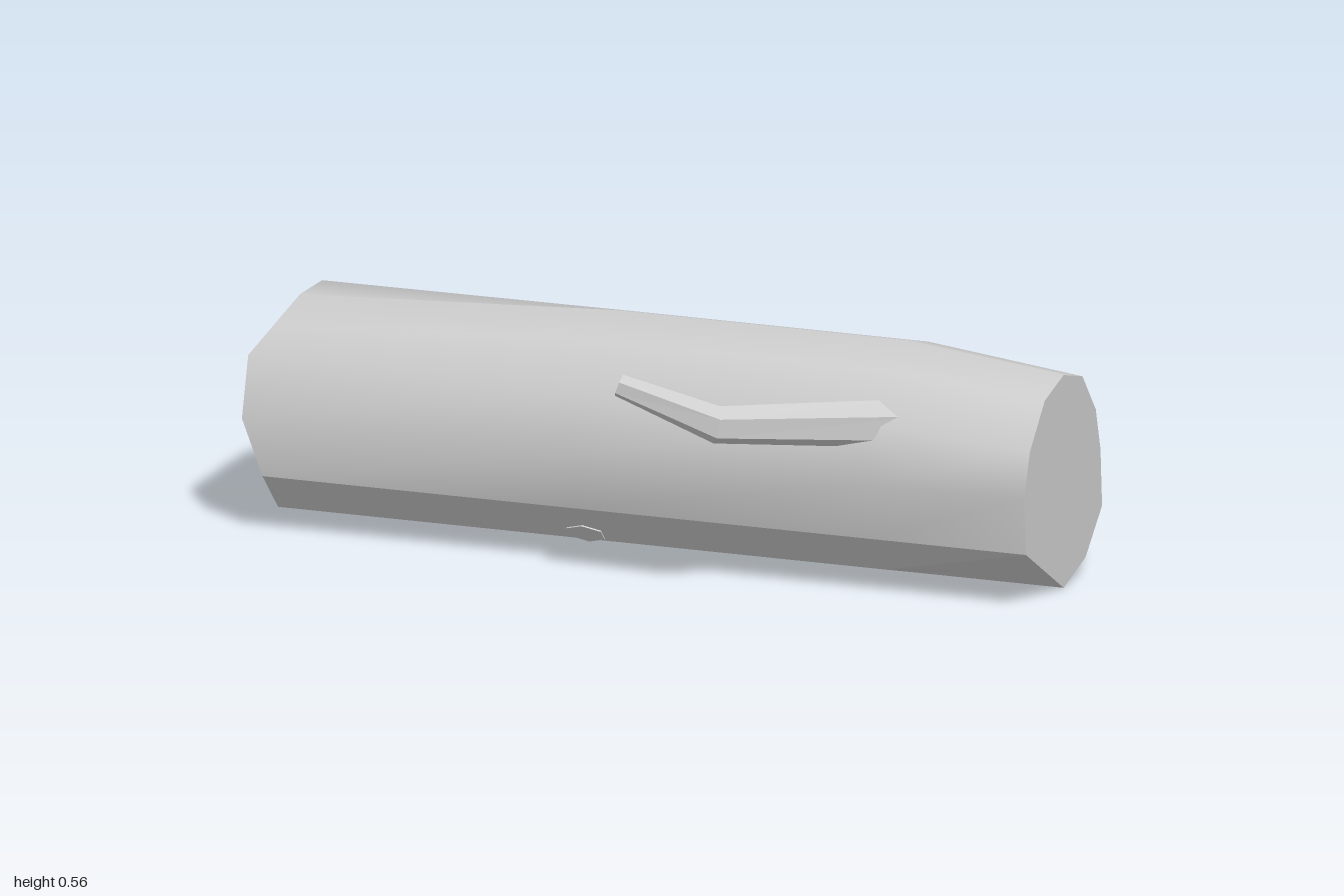
import * as THREE from 'three';

// Log cross-section as [z, y], from the lower front edge over the top to the bottom
const FULL = [[0.2, 0.14], [0.24, 0.28], [0.2, 0.42], [0.1, 0.527], [-0.04, 0.565], [-0.18, 0.527],
  [-0.285, 0.42], [-0.325, 0.28], [-0.285, 0.14], [-0.18, 0.04], [-0.04, 0], [0.1, 0.04]];

// Copy of the full section at x, with some corners replaced by [x, y, z]
function section(x, changes = {}) {
  return FULL.map(([z, y], i) => new THREE.Vector3(...(changes[i] ?? [x, y, z])));
}

// Skin a list of rows of points; caps are fans in separate geometry
function skin(rows) {
  const n = rows[0].length, index = [];
  for (let i = 0; i < rows.length - 1; i++) {
    for (let j = 0; j < n - 1; j++) {
      const a = i * n + j, b = a + n;
      index.push(a, b, b + 1, a, b + 1, a + 1);
    }
  }
  const geo = new THREE.BufferGeometry().setFromPoints(rows.flat());
  geo.setIndex(index);
  geo.computeVertexNormals();
  return geo;
}

function fan(loop) {
  const centre = loop.reduce((s, p) => s.add(p), new THREE.Vector3()).divideScalar(loop.length);
  const index = loop.flatMap((_, i) => [0, i + 1, ((i + 1) % loop.length) + 1]);
  const geo = new THREE.BufferGeometry().setFromPoints([centre, ...loop]);
  geo.setIndex(index);
  geo.computeVertexNormals();
  return geo;
}

// Tapered six-sided limb through points [x, y, z, radius]
function limb(path, sides = 6) {
  const pts = path.map((p) => new THREE.Vector3(p[0], p[1], p[2]));
  const rows = pts.map((p, i) => {
    const t = pts[Math.min(i + 1, pts.length - 1)].clone().sub(pts[Math.max(i - 1, 0)]).normalize();
    const u = new THREE.Vector3(0, 1, 0).addScaledVector(t, -t.y).normalize();
    const v = new THREE.Vector3().crossVectors(t, u);
    return Array.from({ length: sides + 1 }, (_, k) => {
      const a = -(k / sides) * Math.PI * 2;
      return p.clone().addScaledVector(u, Math.cos(a) * path[i][3]).addScaledVector(v, Math.sin(a) * path[i][3]);
    });
  });
  const loop = rows[rows.length - 1].slice(0, sides);
  return [skin(rows), fan(loop.reverse())];
}

export function createModel() {
  const model = new THREE.Group();
  const smooth = new THREE.MeshStandardMaterial({ color: 0xcccccc });
  const flat = new THREE.MeshStandardMaterial({ color: 0xcccccc, flatShading: true });
  const add = (name, geo, mat, parent = model) => {
    const mesh = new THREE.Mesh(geo, mat);
    mesh.name = name;
    parent.add(mesh);
    return mesh;
  };

  // Log: splintered at the -x end, tapered at the +x end
  const rows = [
    section(-0.94, { 1: [-1, 0.27, 0.18], 2: [-1, 0.415, 0.14], 3: [-0.97, 0.47, 0.05],
      4: [-0.94, 0.525, -0.04], 5: [-0.94, 0.524, -0.18] }),
    section(-0.15),
    section(0.6),
    section(1, { 1: [1, 0.28, 0.21], 2: [1, 0.385, 0.175], 3: [1, 0.487, 0.08], 4: [1, 0.52, -0.04],
      5: [1, 0.487, -0.16], 6: [1, 0.385, -0.245], 7: [1, 0.28, -0.275], 11: [1, 0.07, 0.08] }),
  ];
  add('logBark', skin(rows.map((r) => r.slice(0, 11))), smooth);
  add('logUnderside', skin(rows.map((r) => [r[10], r[11], r[0]])), flat);
  add('brokenEnd', fan(rows[0]), flat);
  add('cutEnd', fan([...rows[3]].reverse()), flat);

  // Branches, each from inside the log out to its tip
  const branches = {
    frontBranch: [[0.68, 0.405, 0.1, 0.06], [0.29, 0.435, 0.39, 0.046], [0.06, 0.52, 0.435, 0.028]],
    backBranch: [[-0.1, 0.2, -0.18, 0.055], [-0.255, 0.06, -0.44, 0.033],
      [-0.39, 0.035, -0.442, 0.023], [-0.52, 0.025, -0.4, 0.016]],
  };
  for (const [name, path] of Object.entries(branches)) {
    const group = new THREE.Group();
    group.name = name;
    const [side, tip] = limb(path);
    add(name + 'Side', side, flat, group);
    add(name + 'Tip', tip, flat, group);
    model.add(group);
  }

  // Small knot low on the front
  const knot = add('knot', new THREE.CylinderGeometry(0.05, 0.055, 0.04, 6), flat);
  knot.scale.z = 0.7;
  knot.rotation.x = Math.PI * 0.75;
  knot.position.set(-0.15, 0.072, 0.108);

  return model;
}
